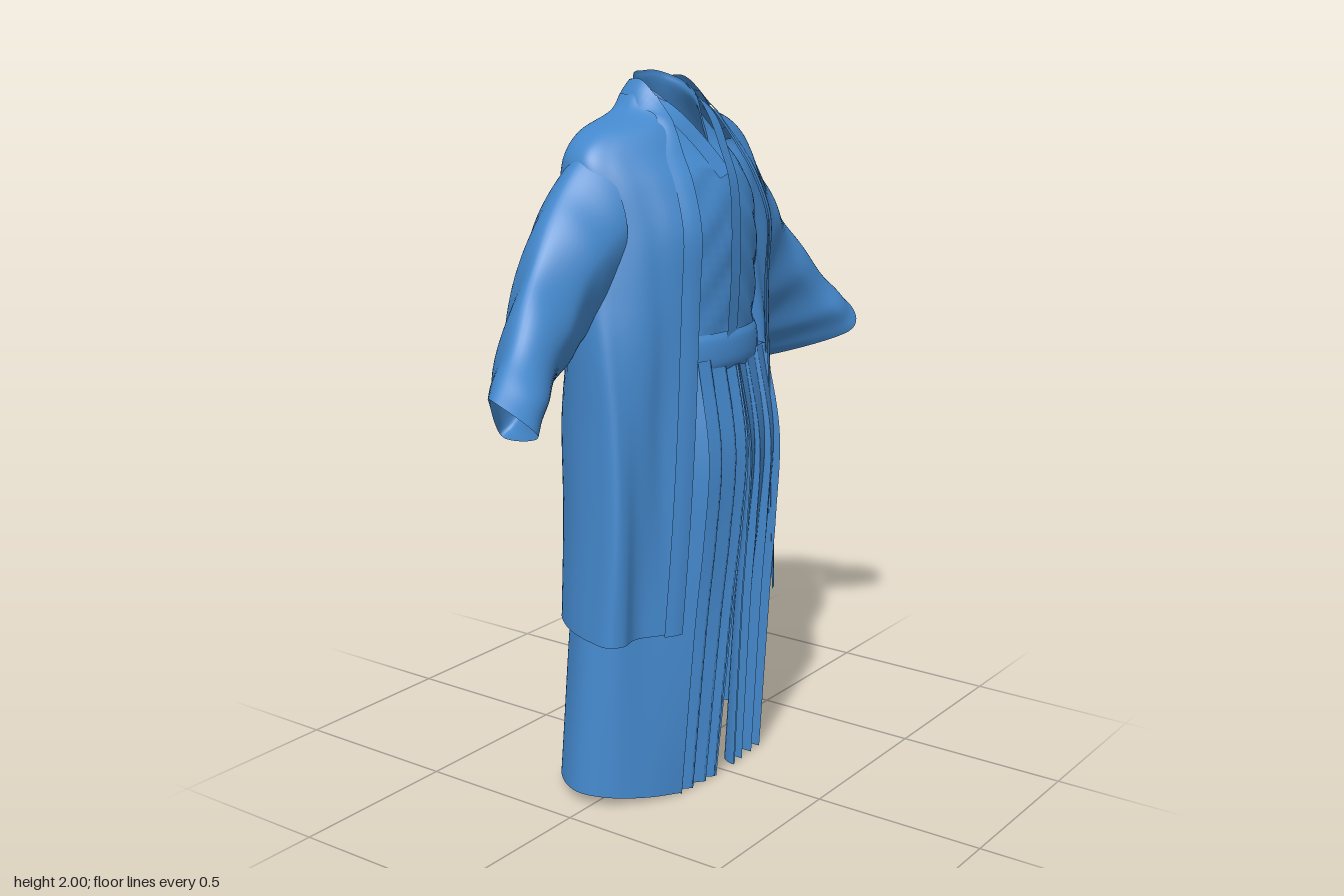
import * as THREE from 'three';

const V = (x, y, z) => new THREE.Vector3(x, y, z);
const { lerp, smoothstep } = THREE.MathUtils;
const cloth = new THREE.MeshStandardMaterial({ color: 0x4488cc, side: THREE.DoubleSide });

// Smooth cloth sheet through a list of cross-sections; tweak(p, u, v) adds folds
function loft(name, sections, nu, nv, { closed = false, tweak } = {}) {
  const curves = sections.map(s => new THREE.CatmullRomCurve3(s, closed, 'catmullrom', 0.5));
  const cols = closed ? nu : nu + 1, pos = [], idx = [];
  for (let i = 0; i < cols; i++) {
    const across = new THREE.CatmullRomCurve3(curves.map(c => c.getPoint(i / nu)), false, 'catmullrom', 0.5);
    for (let j = 0; j <= nv; j++) {
      const p = across.getPoint(j / nv);
      if (tweak) tweak(p, i / nu, j / nv);
      pos.push(p.x, p.y, p.z);
    }
  }
  for (let i = 0; i < nu; i++) for (let j = 0; j < nv; j++) {
    const a = i * (nv + 1) + j, b = ((i + 1) % cols) * (nv + 1) + j;
    idx.push(a, b, a + 1, b, b + 1, a + 1);
  }
  const g = new THREE.BufferGeometry();
  g.setAttribute('position', new THREE.Float32BufferAttribute(pos, 3));
  g.setIndex(idx);
  g.computeVertexNormals();
  const m = new THREE.Mesh(g, cloth);
  m.name = name;
  return m;
}

// Closed egg-shaped ring
const ring = (y, w, zf, zb, n = 12) => Array.from({ length: n }, (_, i) => {
  const a = i / n * Math.PI * 2, c = (zf + zb) / 2, d = (zf - zb) / 2;
  return V(Math.sin(a) * w, y, c + Math.cos(a) * d);
});

// Open-fronted coat section, from one front edge round the back to the other.
// Towards the hem the widest point moves forward, most on the right, and the back narrows.
function coatSection([y, w, xe, zf, zb, dx]) {
  const c = (zf + zb) / 2, d = (zf - zb) / 2, k = w - xe, t = 1 - smoothstep(y, 0.9, 1.6);
  const half = s => {
    const f = s < 0 ? 0.03 * t : 0;
    return [[xe, zf], [xe + 0.4 * k, c + lerp(0.78, 0.72, t) * d],
      [xe + lerp(0.8, 0.84, t) * k, c + lerp(0.4, 0.54, t) * d + f], [w, c + 0.34 * t * d + f],
      [lerp(0.9, 0.87, t) * w, c - lerp(0.6, 0.36, t) * d + f],
      [lerp(0.55, 0.58, t) * w, c - lerp(0.92, 0.82, t) * d + f / 3]].map(([x, z]) => V(dx + s * x, y, z));
  };
  return [...half(1), V(dx, y, zb), ...half(-1).reverse()];
}

// Coat rows: height, half width, front edge x, front z, back z, sideways lean
const coatRows = [
  [0.51, 0.43, 0.225, 0.2, -0.243, -0.03], [0.8, 0.412, 0.2, 0.205, -0.245, -0.027],
  [1.08, 0.395, 0.18, 0.207, -0.25, -0.025], [1.3, 0.385, 0.165, 0.205, -0.208, -0.025],
  [1.45, 0.375, 0.16, 0.205, -0.218, -0.022], [1.6, 0.364, 0.16, 0.203, -0.243, -0.012],
  [1.72, 0.364, 0.145, 0.162, -0.212, -0.006], [1.8, 0.355, 0.13, 0.112, -0.19, 0],
  [1.857, 0.29, 0.115, 0.078, -0.172, 0], [1.9, 0.17, 0.105, 0.045, -0.143, 0],
  [1.945, 0.122, 0.1, 0.01, -0.132, 0]];

function coatFolds(p) {
  const low = smoothstep(1.85 - p.y, 0, 0.3);
  if (p.z > 0.03) p.z += 0.005 * low * smoothstep(Math.abs(p.x), 0.23, 0.3) * Math.sin(p.x * 55);
  if (p.z < -0.1 && p.y < 1.75) { // swags hanging across the back
    const r = Math.hypot(p.x * 1.1, p.y - 1.75);
    const fade = Math.exp(-(((r - 0.45) / 0.15) ** 2)) * (1 - smoothstep(Math.abs(p.x), 0.12, 0.32));
    p.z += 0.01 * fade * Math.sin(r * 44) + 0.004 * low * Math.sin(p.x * 18 + 1);
  }
}

function addCoat(group) {
  group.add(loft('coatBody', coatRows.map(coatSection), 96, 90, { tweak: coatFolds }));
  // One long facing band: up a front edge, round the neck and down the other edge
  const edge = s => coatRows.slice(0, -1).map(([y, , xe, zf, , dx]) => {
    const w = y > 1.84 ? 0.035 : 0.05;
    return [V(dx + s * xe, y, zf + 0.007), V(dx + s * (xe + w / 2), y, zf - 0.002), V(dx + s * (xe + w), y, zf - 0.018)];
  });
  const neckPoint = (x, z, ox, oz) => [V(x, 1.98, z), V((x + ox) / 2, 1.95, (z + oz) / 2 - 0.003), V(ox, 1.91, oz)];
  const neck = [neckPoint(0.1, -0.035, 0.142, -0.04), neckPoint(0.075, -0.1, 0.1, -0.13),
    neckPoint(0, -0.122, 0, -0.146), neckPoint(-0.075, -0.1, -0.1, -0.13), neckPoint(-0.1, -0.035, -0.142, -0.04)];
  group.add(loft('coatBand', [...edge(1), ...neck, ...edge(-1).reverse()], 4, 160));
}

// Sleeve sections: top, front, bottom, back
const sleeveRows = [
  [[0.32, 1.825, -0.05], [0.33, 1.62, 0.085], [0.33, 1.37, -0.03], [0.32, 1.62, -0.19]],
  [[0.45, 1.7, -0.06], [0.44, 1.53, 0.06], [0.42, 1.3, -0.04], [0.45, 1.53, -0.17]],
  [[0.6, 1.52, -0.04], [0.57, 1.36, 0.05], [0.47, 1.2, -0.1], [0.55, 1.35, -0.165]],
  [[0.74, 1.35, 0], [0.7, 1.24, 0.09], [0.53, 1.12, -0.15], [0.64, 1.25, -0.14]],
  [[0.84, 1.26, 0.03], [0.77, 1.17, 0.11], [0.57, 1.08, -0.18], [0.71, 1.21, -0.1]]];

function addSleeve(group, s) {
  const swing = s < 0 ? 0.008 : 0; // the right sleeve hangs a little further forward
  const sections = sleeveRows.map((r, i) => r.map(([x, y, z]) => V(s * x, y, z + swing * i)));
  const folds = (p, u, v) => {
    const f = Math.sin(v * Math.PI);
    p.z += 0.006 * f * Math.sin(v * 22 + u * 14) * Math.sin(u * Math.PI * 2);
    p.y += 0.004 * f * Math.sin(v * 24 + u * 6);
  };
  group.add(loft(s > 0 ? 'leftSleeve' : 'rightSleeve', sections, 48, 48, { closed: true, tweak: folds }));
}

function addRobe(group) {
  // Neckline: high at the back, dipping to a V in front
  const h = [[0, 1.82, 0.105], [0.04, 1.88, 0.06], [0.08, 1.94, 0.01], [0.092, 1.97, -0.04],
    [0.075, 1.99, -0.085], [0.04, 2, -0.105], [0, 2, -0.11]];
  const neck = [...h, ...h.slice(1, 6).reverse().map(([x, y, z]) => [-x, y, z])].map(a => V(...a));
  const collarBase = neck.map(p => V(p.x * 1.15, p.y - 0.05, p.z * 1.08 + 0.005));
  group.add(loft('robeBody', [ring(1.24, 0.24, 0.195, -0.17), ring(1.45, 0.26, 0.198, -0.18),
    ring(1.62, 0.27, 0.19, -0.19), ring(1.75, 0.23, 0.145, -0.165), collarBase, neck], 60, 40, {
    closed: true,
    tweak: p => { if (p.z > 0.1 && p.y < 1.75) p.z += 0.004 * Math.sin((p.y + Math.abs(p.x)) * 45); }
  }));
  // Crossed collar bands, the left one on top
  const over = [[0.09, 1.965, -0.03], [0.055, 1.9, 0.06], [0.02, 1.81, 0.13], [-0.01, 1.7, 0.187],
    [-0.035, 1.5, 0.21], [-0.05, 1.29, 0.208]];
  const under = [[-0.09, 1.965, -0.03], [-0.055, 1.9, 0.055], [-0.005, 1.82, 0.112], [0.03, 1.74, 0.165]];
  const band = (name, pts, s) => group.add(loft(name, [
    pts.map(a => V(...a)),
    pts.map(([x, y, z], i) => V(x + s * (i ? 0.05 : 0.012), y - 0.014, z - 0.004))], 40, 4));
  band('robeCollarOver', over, 1);
  band('robeCollarUnder', under, -1);
  // Waist sash
  group.add(loft('sash', [ring(1.2, 0.25, 0.203, -0.18), ring(1.23, 0.252, 0.216, -0.185),
    ring(1.285, 0.25, 0.214, -0.185), ring(1.31, 0.245, 0.203, -0.175)], 48, 10, {
    closed: true, tweak: p => { p.y += p.z > 0 ? 0.08 * (p.z - 0.2) + 0.008 : 0; }
  }));
}

// Trouser rows: height, inner x, pleat end x, outer x, back edge x, front z, back z
const legRows = [
  [1.25, 0, 0.165, 0.25, 0, 0.205, -0.17], [1.0, 0.005, 0.175, 0.31, 0.005, 0.25, -0.19],
  [0.75, 0.012, 0.182, 0.335, 0.05, 0.238, -0.205], [0.5, 0.022, 0.19, 0.358, 0.09, 0.215, -0.212],
  [0, 0.045, 0.2, 0.392, 0.13, 0.178, -0.2]];

function addLeg(group, s) {
  const side = s > 0 ? 'left' : 'right';
  // Sharp overlapping pleats down the front
  const pleats = legRows.map(([y, xi, xp, , , zf]) => [V(s * xi, y, zf), V(s * xp, y, zf - 0.012)]);
  group.add(loft(side + 'TrouserPleats', pleats, 40, 40, {
    tweak: (p, u, v) => {
      const k = (u * 4) % 1;
      p.z -= (0.01 + 0.04 * v) * k;
      p.x += s * 0.02 * k * (1 - u);
    }
  }));
  // Smooth panel round the outside to the back, open between the legs
  const panel = legRows.map(([y, , xp, xo, xb, zf, zb]) => {
    const c = (zf + zb) / 2, d = (zf - zb) / 2, k = xo - xp, lift = y === 0 ? 0.035 : 0;
    const hidden = smoothstep(y, 0.3, 0.6); // slimmer under the coat
    const at = (x, dy, z, lean) => V(s * x - 0.027 * lean, y + lift * dy, z);
    return [at(xp, 0.1, zf - 0.012, 0), at(xp + k * 0.45, 0.4, c + lerp(0.68, 0.46, hidden) * d, 0.45),
      at(xp + k * 0.85, 0.8, c + lerp(0.32, 0.22, hidden) * d, 0.85), at(xo, 1, c - d * 0.15, 1),
      at(xo * lerp(0.87, 0.83, hidden), 1, c - d * lerp(0.65, 0.55, hidden), 1),
      at((xb + xo) / 2, 1, c - d * lerp(0.95, 0.85, hidden), 0.7), at(xb, 1, zb, 0.5)];
  });
  group.add(loft(side + 'TrouserPanel', panel, 40, 32));
}

export function createModel() {
  const model = new THREE.Group();
  model.name = 'robeOutfit';
  addCoat(model);
  addRobe(model);
  for (const s of [1, -1]) {
    addSleeve(model, s);
    addLeg(model, s);
  }
  return model;
}
